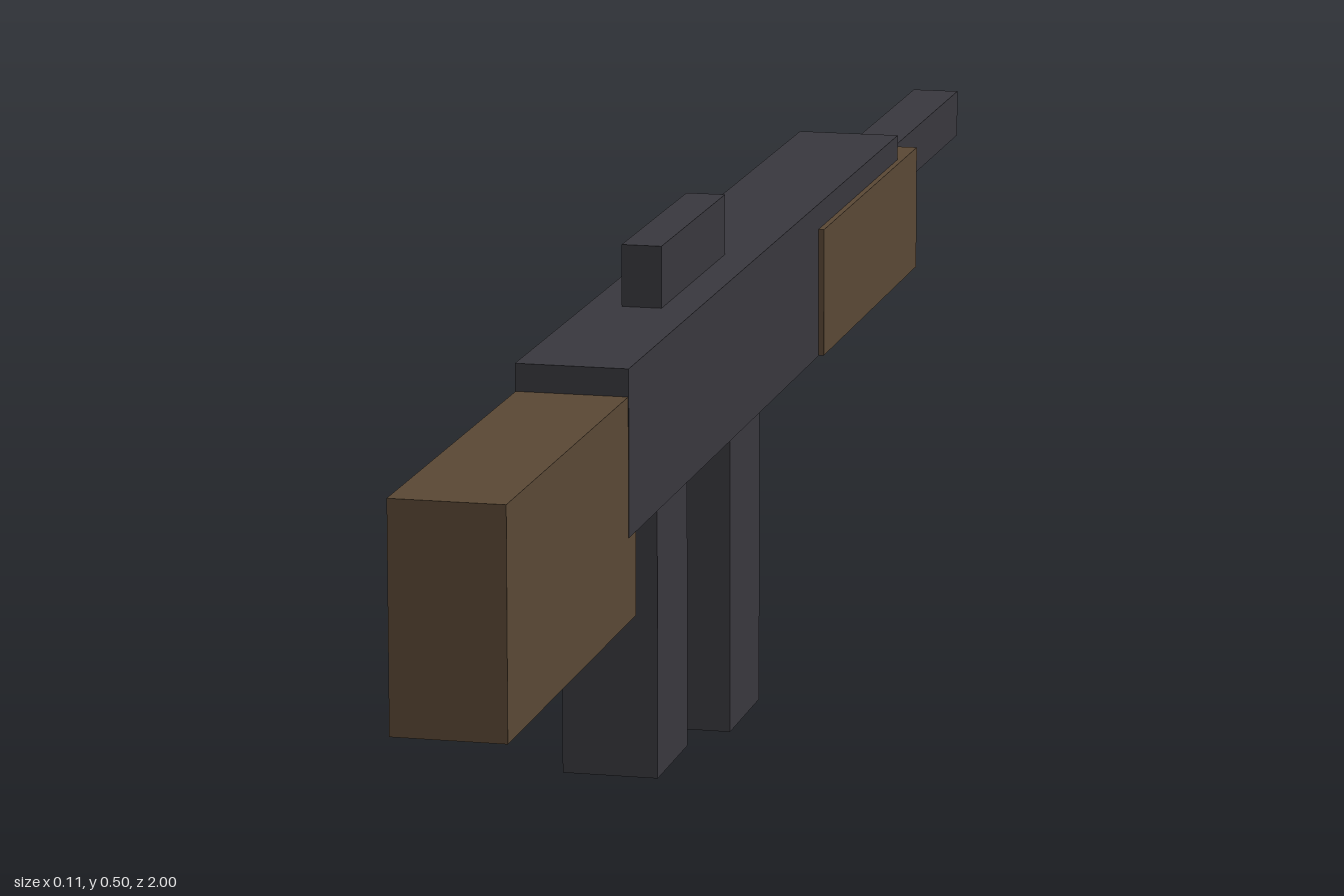
import * as THREE from 'three';

export function createModel() {
  const model = new THREE.Group();
  const metal = new THREE.MeshStandardMaterial({ color: 0x39383e });
  metal.name = 'dark metal';
  const wood = new THREE.MeshStandardMaterial({ color: 0x5a4835 });
  wood.name = 'brown wood';

  // Box centred on x = 0, given its width and its y and z ranges
  function block(name, material, width, y0, y1, z0, z1) {
    const mesh = new THREE.Mesh(new THREE.BoxGeometry(width, y1 - y0, z1 - z0), material);
    mesh.name = name;
    mesh.position.set(0, (y0 + y1) / 2, (z0 + z1) / 2);
    model.add(mesh);
  }

  // Main body and sight
  block('receiver', metal, 0.102, 0.294, 0.445, -0.555, 0.587);
  block('sight', metal, 0.037, 0.445, 0.502, 0.08, 0.332);

  // Wooden furniture
  block('stock', wood, 0.101, 0.218, 0.42, 0.56, 1);
  block('handguard', wood, 0.113, 0.295, 0.42, -0.625, -0.18);

  // Barrel
  block('barrel', metal, 0.048, 0.364, 0.412, -1, -0.6);

  // Parts below the body
  block('grip', metal, 0.088, 0.04, 0.3, 0.34, 0.455);
  block('magazine', metal, 0.076, 0, 0.281, 0.02, 0.143);

  return model;
}
